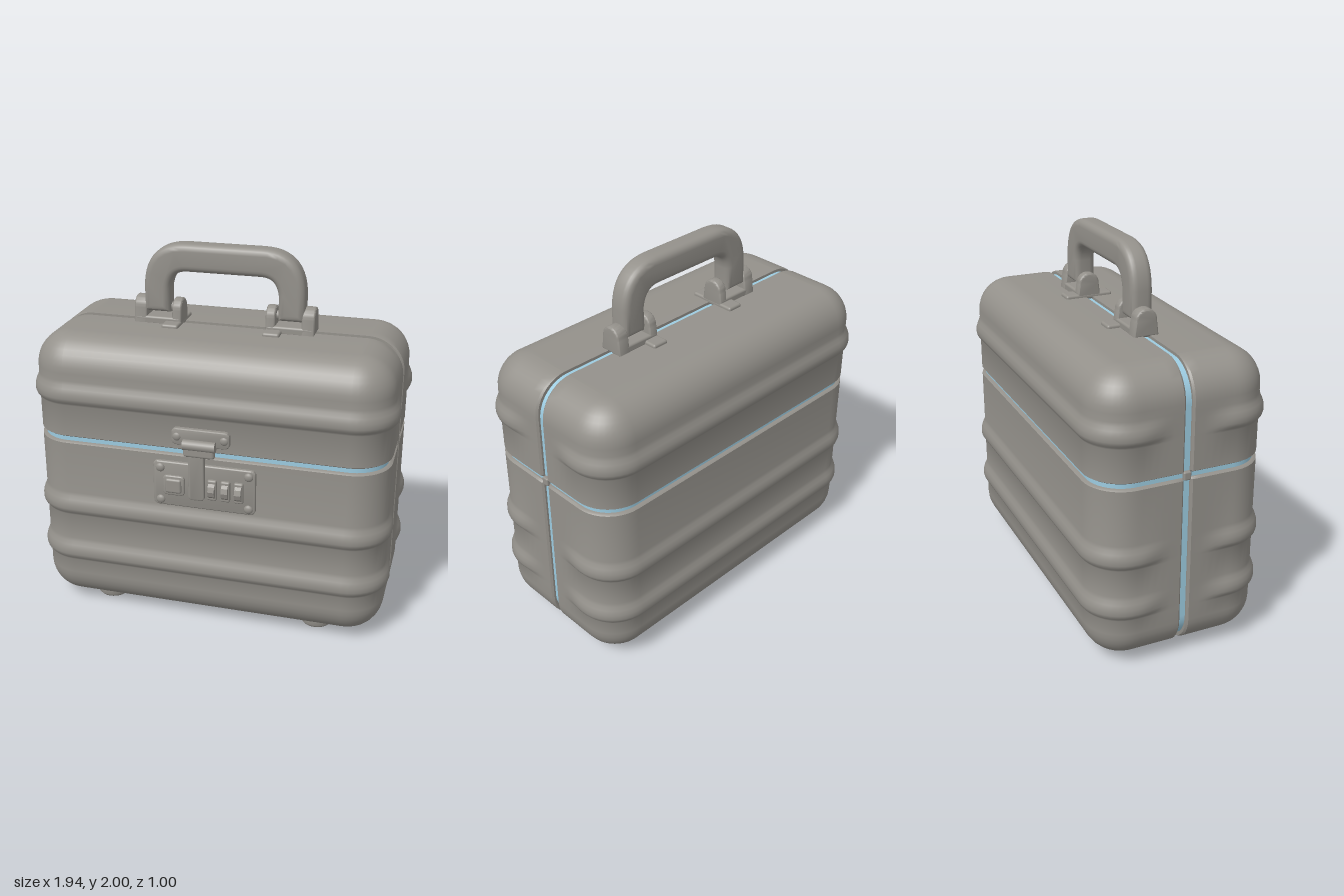
import * as THREE from 'three';
import { toCreasedNormals } from 'three/addons/utils/BufferGeometryUtils.js';
import { RoundedBoxGeometry } from 'three/addons/geometries/RoundedBoxGeometry.js';

const W = 0.945, D = 0.458, R = 0.2, RV = 0.18, GAP = 0.018, ZC = -0.018;
const BOTTOM = 0.035, TOP = 1.57, FRONT = ZC + D;

// Plan outline of half the case: points with outward normals and rib strength
function halfOutline() {
  const side = [GAP, GAP + 0.01, 0.08, 0.12, 0.16, 0.2, 0.23];
  const pts = side.map((d, i) => ({ x: W, d, nx: 1, nd: 0, cut: i ? 0 : 0.01 }));
  for (let i = 0; i <= 10; i++) {
    const a = (i / 10) * Math.PI / 2, c = Math.cos(a), s = Math.sin(a);
    pts.push({ x: W - R + R * c, d: D - R + R * s, nx: c, nd: s, cut: 0 });
  }
  pts.forEach(p => { p.rib = THREE.MathUtils.smoothstep(p.d, 0.08, 0.25); });
  return pts.concat(pts.map(p => ({ ...p, x: -p.x, nx: -p.nx })).reverse());
}

// Loft a closed half shell through rows of [y, inset, rib height]
function shellGeometry(rows) {
  const outline = halfOutline(), n = outline.length, pos = [], idx = [];
  const ring = ([y, inset, rib = 0], flat) => outline.forEach(p => {
    const o = rib * p.rib - inset - p.cut;
    pos.push(p.x + p.nx * o, y, flat ? GAP : p.d + p.nd * o);
  });
  ring(rows[0], true);
  rows.forEach(r => ring(r, false));
  ring(rows[rows.length - 1], true);
  for (let j = 0; j < rows.length + 1; j++) {
    for (let k = 0; k < n; k++) {
      const a = j * n + k, b = j * n + (k + 1) % n;
      idx.push(a, a + n, b, b, a + n, b + n);
    }
  }
  const g = new THREE.BufferGeometry();
  g.setAttribute('position', new THREE.Float32BufferAttribute(pos, 3));
  g.setIndex(idx);
  return toCreasedNormals(g, 0.6);
}

const ribRows = y => [[-0.02, 0], [-0.008, 0.006], [0.005, 0.018], [0.022, 0.023], [0.05, 0.022],
  [0.075, 0.014], [0.095, 0.004], [0.115, 0]].map(([dy, h]) => [y + dy, 0, h]);

// Quarter-round rows for the bottom (dir 1) or top (dir -1) edge
function roundRows(y, dir) {
  const rows = [];
  for (let i = 0; i <= 9; i++) {
    const a = (i / 9) * Math.PI / 2;
    rows.push([y + dir * RV * (1 - Math.cos(a)), RV * (1 - Math.sin(a))]);
  }
  return dir > 0 ? rows : rows.reverse();
}

// Rounded rectangle outline
function roundRect(w, h, r) {
  const s = new THREE.Shape(), x = w / 2, y = h / 2;
  s.absarc(x - r, y - r, r, 0, Math.PI / 2);
  s.absarc(-x + r, y - r, r, Math.PI / 2, Math.PI);
  s.absarc(-x + r, -y + r, r, Math.PI, Math.PI * 1.5);
  s.absarc(x - r, -y + r, r, Math.PI * 1.5, Math.PI * 2);
  return s;
}

// Extrude a shape to a total depth, centred on z, with rounded edges
function slab(shape, depth, bevel) {
  const g = new THREE.ExtrudeGeometry(shape, {
    depth: depth - 2 * bevel, bevelThickness: bevel, bevelSize: bevel, bevelOffset: -bevel,
    bevelSegments: 5, curveSegments: 12,
  });
  g.translate(0, 0, bevel - depth / 2);
  return toCreasedNormals(g, 0.7);
}

export function createModel() {
  const model = new THREE.Group();
  model.name = 'hardCase';
  const shellGrey = new THREE.MeshStandardMaterial({ name: 'shellGrey', color: 0x94918b });
  const sealBlue = new THREE.MeshStandardMaterial({ name: 'sealBlue', color: 0x9ccbe0 });

  const add = (name, geometry, x = 0, y = 0, z = 0, material = shellGrey, parent = model) => {
    const m = new THREE.Mesh(geometry, material);
    m.name = name;
    m.position.set(x, y, z);
    parent.add(m);
    return m;
  };
  const box = (w, h, d, r) => new RoundedBoxGeometry(w, h, d, 3, r);

  // Four shell quarters around a blue sealing core
  const base = shellGeometry([...roundRows(BOTTOM, 1), ...ribRows(0.315), ...ribRows(0.595),
    [1.0, 0], [1.008, 0.012]]);
  const lid = shellGeometry([[1.035, 0.012], [1.043, 0], ...ribRows(1.235), ...roundRows(TOP, -1)]);
  for (const [side, turn] of [['front', 0], ['back', Math.PI]]) {
    add(side + 'Base', base, 0, 0, ZC).rotation.y = turn;
    add(side + 'Lid', lid, 0, 0, ZC).rotation.y = turn;
  }
  add('seal', new RoundedBoxGeometry(2 * W - 0.04, TOP - BOTTOM - 0.03, 2 * D - 0.04, 8, 0.18),
    0, (TOP + BOTTOM) / 2, ZC, sealBlue);

  // Carrying handle
  const u = new THREE.Shape();
  u.moveTo(0.43, 1.63);
  u.lineTo(0.43, 1.78);
  u.bezierCurveTo(0.42, 1.93, 0.34, 2, 0.2, 2);
  u.lineTo(-0.2, 2);
  u.bezierCurveTo(-0.34, 2, -0.42, 1.93, -0.43, 1.78);
  u.lineTo(-0.43, 1.63);
  u.lineTo(-0.29, 1.63);
  u.lineTo(-0.29, 1.76);
  u.bezierCurveTo(-0.28, 1.83, -0.25, 1.853, -0.19, 1.853);
  u.lineTo(0.19, 1.853);
  u.bezierCurveTo(0.25, 1.853, 0.28, 1.83, 0.29, 1.76);
  u.lineTo(0.29, 1.63);
  u.closePath();
  add('handle', slab(u, 0.118, 0.035), 0, 0, ZC + 0.005);

  // Handle brackets: lugs, pin and mounting tabs; mirrored
  const lugShape = new THREE.Shape();
  lugShape.moveTo(-0.068, 0);
  lugShape.lineTo(0.068, 0);
  lugShape.lineTo(0.06, 0.08);
  lugShape.absarc(0, 0.084, 0.058, 0, Math.PI);
  lugShape.closePath();
  const outerLug = slab(lugShape, 0.07, 0.012).rotateY(Math.PI / 2);
  const innerLug = slab(lugShape, 0.052, 0.012).rotateY(Math.PI / 2);
  const pin = new THREE.CylinderGeometry(0.025, 0.025, 0.22, 16).rotateZ(Math.PI / 2);
  for (const s of [1, -1]) {
    const bracket = new THREE.Group();
    bracket.name = s > 0 ? 'leftBracket' : 'rightBracket';
    model.add(bracket);
    const part = (name, g, x, y) => add(name, g, s * x, y, ZC, shellGrey, bracket);
    part('outerLug', outerLug, 0.45, 1.565);
    part('innerLug', innerLug, 0.252, 1.56);
    part('bridge', box(0.25, 0.045, 0.13, 0.012), 0.355, 1.583);
    part('mountingTab', box(0.09, 0.03, 0.265, 0.012), 0.27, 1.573);
    part('pin', pin, 0.355, 1.65);
  }

  // Side hinge blocks at the seam crossings
  for (const s of [1, -1]) {
    add('seamBlock', box(0.04, 0.045, 0.04, 0.008), s * (W - 0.02), 1.02, ZC);
  }

  // Lock: lower plate, button, dials, hasp and upper plate
  const lock = new THREE.Group();
  lock.name = 'lock';
  model.add(lock);
  const fit = (name, g, x, y, z) => add(name, g, x, y, z, shellGrey, lock);
  fit('lockPlate', slab(roundRect(0.545, 0.25, 0.025), 0.03, 0.007), 0.013, 0.845, FRONT + 0.005);
  fit('buttonFrame', slab(roundRect(0.115, 0.11, 0.02), 0.03, 0.006), -0.145, 0.843, FRONT + 0.02);
  fit('button', box(0.085, 0.08, 0.03, 0.012), -0.145, 0.843, FRONT + 0.03);
  const dial = new THREE.CylinderGeometry(0.06, 0.06, 0.034, 12).rotateZ(Math.PI / 2);
  const dialGeometry = toCreasedNormals(dial, 0.3);
  for (let i = 0; i < 3; i++) {
    const x = 0.06 + i * 0.07;
    fit('dialFrame', box(0.05, 0.115, 0.025, 0.01), x, 0.842, FRONT + 0.025);
    fit('dial', dialGeometry, x, 0.842, FRONT).scale.set(1, 0.9, 1);
  }
  fit('hasp', slab(roundRect(0.085, 0.32, 0.02), 0.03, 0.008), -0.02, 0.94, FRONT + 0.035);
  fit('haspHead', box(0.165, 0.075, 0.04, 0.015), -0.005, 1.06, FRONT + 0.035);
  fit('hingeRoll', new THREE.CylinderGeometry(0.028, 0.028, 0.17, 20).rotateZ(Math.PI / 2),
    -0.005, 1.085, FRONT + 0.035);
  fit('upperPlate', slab(roundRect(0.305, 0.09, 0.025), 0.035, 0.008), -0.003, 1.12, FRONT + 0.008);
  const rivet = new THREE.SphereGeometry(0.024, 16, 8);
  const rivets = [[-0.22, 0.935], [0.25, 0.935], [-0.22, 0.752], [0.25, 0.752], [-0.127, 1.12], [0.122, 1.12]];
  for (const [x, y] of rivets) fit('rivet', rivet, x, y, FRONT + 0.02).scale.z = 0.55;

  // Four round feet
  const footProfile = [[0, 0], [0.06, 0], [0.08, 0.008], [0.092, 0.024], [0.092, 0.06]]
    .map(([x, y]) => new THREE.Vector2(x, y));
  const foot = new THREE.LatheGeometry(footProfile, 28);
  for (const x of [-0.59, 0.59]) {
    for (const z of [-0.26, 0.26]) add('foot', foot, x, 0, ZC + z);
  }

  return model;
}
